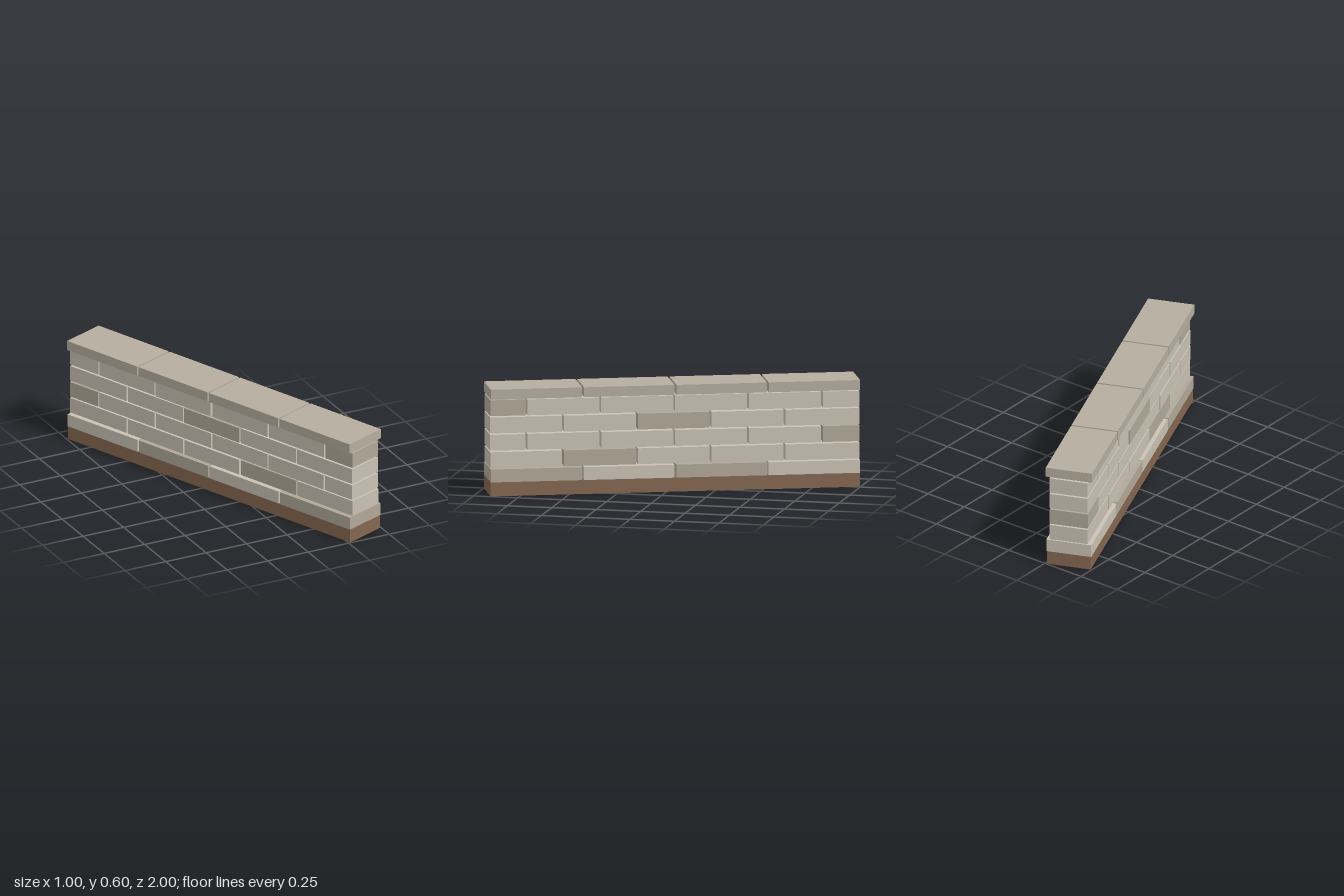
import * as THREE from 'three';

const mat = (color) => new THREE.MeshStandardMaterial({ color, roughness: 0.95 });

export function createModel() {
  const wall = new THREE.Group();
  wall.name = 'stoneWall';

  const light = mat(0xc9c2b4), dark = mat(0xb0a898), cap = mat(0xb5ad9e), soil = mat(0x84674f);
  const LENGTH = 2.045;

  // small repeatable variation for the laid stones
  let seed = 7;
  const jitter = (amount) => {
    seed = (seed * 16807) % 2147483647;
    return (seed / 2147483647 - 0.5) * 2 * amount;
  };

  // one row of stones along z, split at the given joints
  function addCourse({ name, y0, y1, width, joints, gap, darkStones = [], material = light, wobble = 0 }) {
    const row = new THREE.Group();
    row.name = name;
    const ends = [-LENGTH / 2 - gap / 2, ...joints, LENGTH / 2 + gap / 2];
    for (let i = 0; i < ends.length - 1; i++) {
      const length = ends[i + 1] - ends[i] - gap;
      const stone = new THREE.Mesh(
        new THREE.BoxGeometry(width, y1 - y0, length),
        darkStones.includes(i) ? dark : material
      );
      stone.name = `${name}Stone${i + 1}`;
      stone.position.set(jitter(wobble), (y0 + y1) / 2, (ends[i] + ends[i + 1]) / 2);
      row.add(stone);
    }
    wall.add(row);
  }

  // earth-coloured footing
  const footing = new THREE.Mesh(new THREE.BoxGeometry(0.25, 0.078, LENGTH), soil);
  footing.name = 'footing';
  footing.position.y = 0.039;
  wall.add(footing);

  // wide base stones
  const quarters = [-0.511, 0, 0.511];
  addCourse({ name: 'base', y0: 0.078, y1: 0.15, width: 0.256, joints: quarters, gap: 0.01, darkStones: [1, 3] });

  // four courses in running bond, open joints between them
  const fifths = [-0.613, -0.204, 0.204, 0.613].map((t) => t + 0.006);
  const staggered = [-0.818, -0.409, 0, 0.409, 0.818].map((t) => t + 0.004);
  const darkByCourse = [[3], [0], [2], [5]];
  for (let i = 0; i < 4; i++) {
    const y0 = 0.155 + i * 0.0963;
    addCourse({
      name: `course${i + 1}`, y0, y1: y0 + 0.088, width: 0.217, gap: 0.01,
      joints: i % 2 ? staggered : fifths, darkStones: darkByCourse[i], wobble: 0.003,
    });
  }

  // overhanging coping slabs
  addCourse({ name: 'coping', y0: 0.54, y1: 0.595, width: 0.263, joints: quarters, gap: 0.011, material: cap });

  // the wall runs diagonally
  wall.rotation.y = 0.378;
  const model = new THREE.Group();
  model.name = 'wallSection';
  model.add(wall);
  return model;
}
